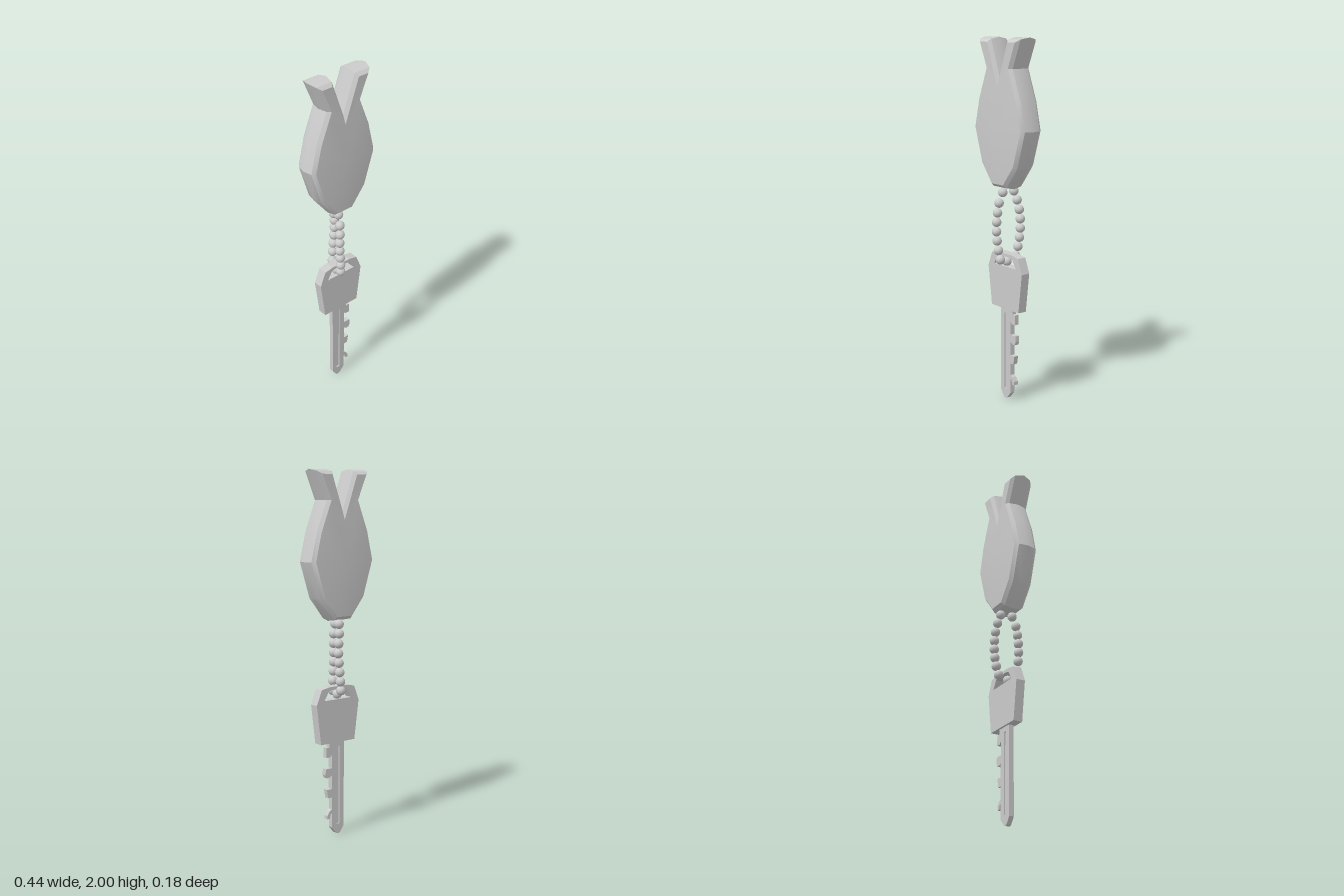
import * as THREE from 'three';
import { toCreasedNormals } from 'three/addons/utils/BufferGeometryUtils.js';

const material = new THREE.MeshStandardMaterial({ color: 0xcccccc });

function addMesh(group, name, geometry) {
  const mesh = new THREE.Mesh(geometry, material);
  mesh.name = name;
  group.add(mesh);
  return mesh;
}

// Flat plate centred on z = 0, with optional cut-outs
function plate(points, depth, holes = []) {
  const toVectors = list => list.map(([x, y]) => new THREE.Vector2(x, y));
  const shape = new THREE.Shape(toVectors(points));
  for (const hole of holes) shape.holes.push(new THREE.Path(toVectors(hole)));
  return new THREE.ExtrudeGeometry(shape, { depth, bevelEnabled: false }).translate(0, 0, -depth / 2);
}

// Moves each edge of a clockwise loop inward and intersects neighbouring edges
function inset(loop, d) {
  const n = loop.length;
  return loop.map(([x, y], i) => {
    const [px, py] = loop[(i + n - 1) % n], [qx, qy] = loop[(i + 1) % n];
    const a = new THREE.Vector2(x - px, y - py).normalize();
    const b = new THREE.Vector2(qx - x, qy - y).normalize();
    const n1 = new THREE.Vector2(a.y, -a.x), n2 = new THREE.Vector2(b.y, -b.x);
    const k = d / (1 + n1.dot(n2));
    return [x + (n1.x + n2.x) * k, y + (n1.y + n2.y) * k];
  });
}

// Pebble-like fob: inset rings toward each face, closed by a gently domed panel
function fobGeometry() {
  const half = [[0.066, 2], [0.185, 2], [0.117, 1.84], [0.18, 1.68],
    [0.218, 1.52], [0.155, 1.32], [0.06, 1.2]];
  const loop = [[0, 1.815], ...half, ...half.map(([x, y]) => [-x, y]).reverse()];
  const n = loop.length;
  const vertices = [];
  const tri = (a, b, c, side) => {
    for (const p of side > 0 ? [a, b, c] : [a, c, b]) vertices.push(p[0], p[1], p[2] * side);
  };
  const ring = (d, z) => inset(loop, d).map(([x, y]) => [x, y, z]);
  const rings = [ring(0, 0), ring(0.01, 0.05), ring(0.026, 0.069)];
  const face = rings[2];
  const centre = [0, 1.52, 0.088];
  for (const side of [1, -1]) {
    for (let r = 0; r < 2; r++) {
      const outer = rings[r], inner = rings[r + 1];
      for (let i = 0; i < n; i++) {
        const j = (i + 1) % n;
        tri(outer[i], inner[i], inner[j], side);
        tri(outer[i], inner[j], outer[j], side);
      }
    }
    // Tail prongs, then a fan over the body
    tri(face[1], face[0], face[2], side);
    tri(face[2], face[0], face[3], side);
    tri(face[0], face[n - 1], face[n - 2], side);
    tri(face[0], face[n - 2], face[n - 3], side);
    const body = [face[0], ...face.slice(3, n - 2)];
    body.forEach((p, i) => tri(p, centre, body[(i + 1) % body.length], side));
  }
  const geometry = new THREE.BufferGeometry();
  geometry.setAttribute('position', new THREE.Float32BufferAttribute(vertices, 3));
  return toCreasedNormals(geometry, 0.45);
}

export function createModel() {
  const model = new THREE.Group();
  model.name = 'keyring';
  addMesh(model, 'fob', fobGeometry());

  // Ball chain looping through the key
  const chain = new THREE.Group();
  chain.name = 'ballChain';
  model.add(chain);
  const bead = new THREE.SphereGeometry(0.026, 16, 12);
  const beads = [
    [-0.008, 1.177, 0.025], [-0.015, 1.12, 0.045], [-0.02, 1.066, 0.052], [-0.024, 1.014, 0.055],
    [-0.024, 0.962, 0.056], [-0.02, 0.911, 0.055], [-0.014, 0.858, 0.051], [-0.007, 0.806, 0.043],
    [-0.003, 0.793, 0], [0.012, 1.182, -0.036], [0.022, 1.132, -0.05], [0.032, 1.08, -0.057],
    [0.036, 1.028, -0.061], [0.034, 0.976, -0.063], [0.028, 0.924, -0.062], [0.02, 0.872, -0.058],
    [0.01, 0.82, -0.049],
  ];
  for (const position of beads) addMesh(chain, 'bead', bead).position.set(...position);

  // Key head with its trapezoid eye
  const key = new THREE.Group();
  key.name = 'key';
  model.add(key);
  const head = [[-0.105, 0.53], [0.128, 0.53], [0.156, 0.75], [0.122, 0.832], [0.07, 0.842],
    [-0.05, 0.842], [-0.102, 0.832], [-0.135, 0.75]];
  const eye = [[-0.083, 0.77], [-0.055, 0.818], [-0.03, 0.825], [0.05, 0.825], [0.075, 0.818], [0.104, 0.77]];
  addMesh(key, 'keyHead', plate(head, 0.052, [eye]));

  // Blade outline with four teeth, slotted for the groove
  const blade = [[-0.04, 0.54], [-0.04, 0.045], [-0.014, 0.008], [0, 0.002], [0.014, 0.008], [0.045, 0.045],
    [0.045, 0.125], [0.052, 0.125], [0.06, 0.098], [0.076, 0.098], [0.076, 0.118], [0.06, 0.14],
    [0.045, 0.15], [0.045, 0.218], [0.07, 0.218], [0.078, 0.266], [0.045, 0.266],
    [0.045, 0.345], [0.06, 0.333], [0.08, 0.333], [0.088, 0.35], [0.086, 0.385], [0.045, 0.385],
    [0.045, 0.46], [0.055, 0.448], [0.082, 0.448], [0.082, 0.504], [0.06, 0.504], [0.06, 0.54]];
  const slot = [[-0.01, 0.06], [0.012, 0.06], [0.012, 0.502], [-0.01, 0.502]];
  addMesh(key, 'keyBlade', plate(blade, 0.027, [slot]));
  addMesh(key, 'grooveFloor', plate(slot, 0.012));
  return model;
}
